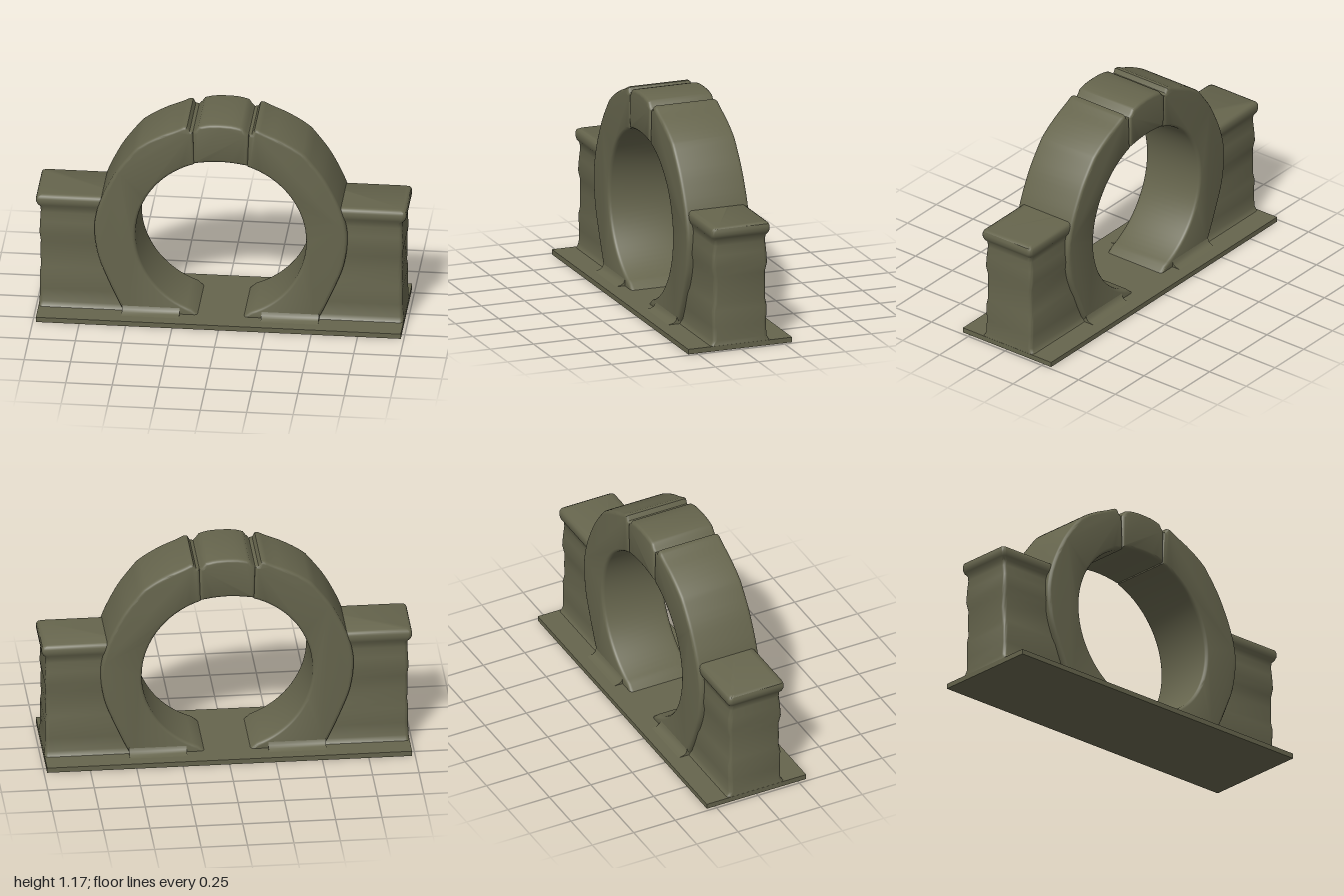
import * as THREE from 'three';
import { toCreasedNormals } from 'three/addons/utils/BufferGeometryUtils.js';

const stone = new THREE.MeshStandardMaterial({ color: 0x66654d });
stone.name = 'mossy stone';

function addMesh(group, name, geometry, crease = 0.75) {
  const mesh = new THREE.Mesh(toCreasedNormals(geometry, crease), stone);
  mesh.name = name;
  group.add(mesh);
}

// Outline in x/y pushed out along z with rounded edges, centred on z = 0
function slab(points, halfDepth, bevel) {
  const outline = new THREE.Shape(points.map(([x, y]) => new THREE.Vector2(x, y)));
  const depth = 2 * (halfDepth - bevel);
  const geo = new THREE.ExtrudeGeometry(outline, {
    depth, bevelEnabled: true, bevelThickness: bevel, bevelSize: bevel * 0.8,
    bevelOffset: -bevel * 0.8, bevelSegments: 3,
  });
  return geo.translate(0, 0, -depth / 2);
}

function smooth(points, n) {
  const curve = new THREE.SplineCurve(points.map(([x, y]) => new THREE.Vector2(x, y)));
  return curve.getPoints(n).map(p => [p.x, p.y]);
}

// Stacked rounded rectangles: sections are [y, outer x, half z]
function pier(side, sections) {
  const inner = 0.5, r = 0.022, loop = 4 * 6, pos = [], idx = [];
  for (const [y, outer, hz] of sections) {
    const hx = (outer - inner) / 2, cx = side * (outer + inner) / 2;
    for (let k = 0; k < 4; k++) {
      for (let s = 0; s < 6; s++) {
        const a = (k + s / 5) * Math.PI / 2;
        const sx = k === 0 || k === 3 ? 1 : -1, sz = k < 2 ? 1 : -1;
        pos.push(cx + sx * (hx - r) + r * Math.cos(a), y, sz * (hz - r) + r * Math.sin(a) - 0.003);
      }
    }
  }
  const rows = sections.length;
  for (let i = 0; i < rows - 1; i++) {
    for (let j = 0; j < loop; j++) {
      const a = i * loop + j, b = i * loop + (j + 1) % loop;
      idx.push(a, a + loop, b, b, a + loop, b + loop);
    }
  }
  const top = (rows - 1) * loop;
  for (let j = 1; j < loop - 1; j++) idx.push(top, top + j + 1, top + j);
  const geo = new THREE.BufferGeometry();
  geo.setAttribute('position', new THREE.Float32BufferAttribute(pos, 3));
  geo.setIndex(idx);
  return geo;
}

export function createModel() {
  const model = new THREE.Group();
  model.name = 'stoneRingGate';

  // Thin ground plate
  addMesh(model, 'basePlate', new THREE.BoxGeometry(1.966, 0.028, 0.6).translate(0, 0.014, 0));

  // Half of the ring: outer edge, notch beside the keystone, then the round opening
  const lower = smooth([[0.51, 0.005], [0.55, 0.08], [0.62, 0.24], [0.663, 0.36], [0.682, 0.5],
    [0.672, 0.6], [0.642, 0.7], [0.602, 0.79], [0.55, 0.885], [0.478, 0.982]], 30);
  const upper = smooth([[0.455, 1.01], [0.4, 1.05], [0.32, 1.095], [0.25, 1.125], [0.2, 1.15]], 10);
  const opening = [];
  for (let i = 0; i <= 36; i++) {
    const a = THREE.MathUtils.degToRad(72 - i * 142 / 36);
    opening.push([0.46 * Math.cos(a), 0.49 + 0.46 * Math.sin(a)]);
  }
  const half = [...lower, ...upper, [0.182, 1.15], [0.168, 1.125], [0.15, 1.12], ...opening, [0.1, 0.005]];

  // Worn pier with an overhanging top course
  const sections = [[0.015, 0.982, 0.19], [0.03, 0.982, 0.168], [0.055, 0.98, 0.156], [0.13, 0.977, 0.156],
    [0.22, 0.978, 0.158], [0.26, 0.973, 0.151], [0.34, 0.976, 0.15], [0.41, 0.974, 0.15],
    [0.46, 0.98, 0.16], [0.53, 0.977, 0.156], [0.585, 0.974, 0.15], [0.615, 0.976, 0.153],
    [0.632, 0.99, 0.164], [0.65, 0.998, 0.168], [0.67, 0.998, 0.168], [0.684, 0.994, 0.163], [0.692, 0.98, 0.15]];

  // Soft curve where the ring meets the plate
  const footProfile = new THREE.Shape([[-0.22, 0.02], [0.22, 0.02], [0.235, 0.028], [0.205, 0.034], [0.19, 0.045],
    [0.182, 0.07], [-0.182, 0.07], [-0.19, 0.045], [-0.205, 0.034], [-0.235, 0.028]]
    .map(([z, y]) => new THREE.Vector2(z, y)));

  for (const side of [1, -1]) {
    const label = side > 0 ? 'left' : 'right';
    addMesh(model, label + 'RingHalf', slab(half.map(([x, y]) => [side * x, y]), 0.184, 0.02));
    addMesh(model, label + 'Pier', pier(side, sections));
    const foot = new THREE.ExtrudeGeometry(footProfile, { depth: 0.31, bevelEnabled: false });
    foot.rotateY(Math.PI / 2).translate(side > 0 ? 0.22 : -0.53, 0, 0);
    addMesh(model, label + 'RingFoot', foot);
  }

  // Keystone between the two ring halves
  const crown = smooth([[0.12, 1.157], [0.07, 1.17], [0, 1.174], [-0.07, 1.17], [-0.12, 1.157]], 10);
  const soffit = smooth([[-0.146, 0.934], [-0.07, 0.945], [0, 0.949], [0.07, 0.945], [0.146, 0.934]], 10);
  addMesh(model, 'keystone', slab([[0.15, 1.12], [0.135, 1.135], ...crown, [-0.135, 1.135], [-0.15, 1.12], ...soffit],
    0.188, 0.02));

  return model;
}
